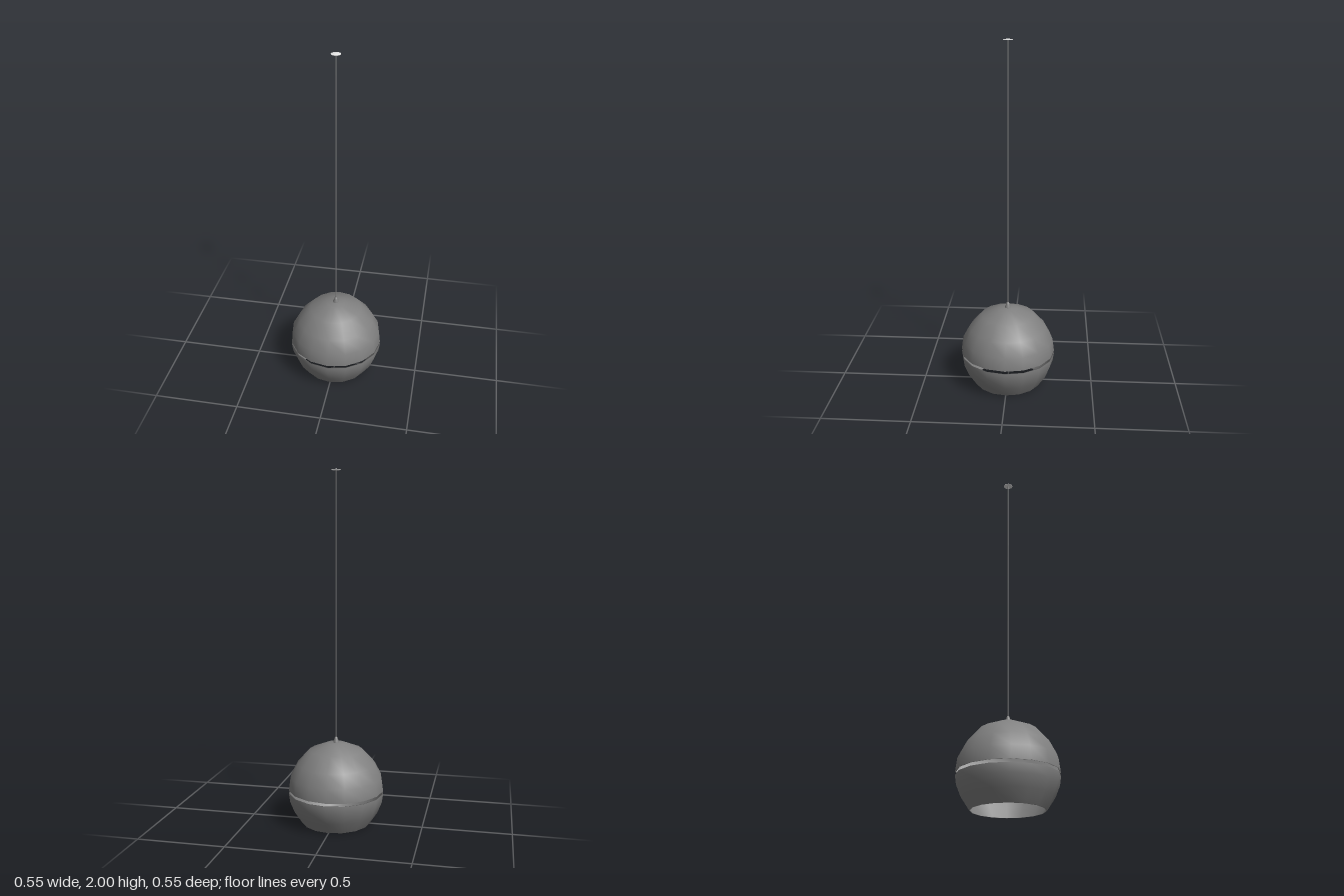
import * as THREE from 'three';

const SIDES = 16;

export function createModel() {
  const gray = new THREE.MeshStandardMaterial({ color: 0x808080 });
  gray.name = 'gray metal';
  const white = new THREE.MeshStandardMaterial({ color: 0xf2f2f2 });
  white.name = 'white enamel';

  const model = new THREE.Group();
  model.name = 'pendantLamp';

  // Turn a list of [radius, height] pairs about the y axis
  const turn = (name, profile, material, sides = SIDES) => {
    const points = profile.map(([r, y]) => new THREE.Vector2(r, y));
    const mesh = new THREE.Mesh(new THREE.LatheGeometry(points, sides), material);
    mesh.name = name;
    model.add(mesh);
    return mesh;
  };

  // Upper dome: gray skin with its rim, and a white lining
  const dome = [[0.275, 0.197], [0.265, 0.272], [0.225, 0.347], [0.154, 0.425], [0.053, 0.466], [0, 0.47]];
  turn('upperShade', [[0.269, 0.197], ...dome], gray);
  const lining = dome.map(([r, y], i) => [Math.max(0, r - 0.006), i ? y - 0.005 : y]).reverse();
  turn('upperShadeLining', lining, white);

  // Lower ring: outer wall, top rim, inner wall and bottom rim in one closed profile
  const ring = [[0.198, 0], [0.243, 0.068], [0.268, 0.13], [0.275, 0.179]];
  const inner = ring.map(([r, y]) => [r - 0.006, y]).reverse();
  turn('lowerShade', [...ring, ...inner, ring[0]], gray);

  // Cord grip on top of the dome
  turn('cordGrip', [[0.017, 0.465], [0.016, 0.475], [0.01, 0.488], [0.007, 0.5], [0, 0.501]], gray);

  // Cord up to the ceiling
  const cord = new THREE.Mesh(new THREE.CylinderGeometry(0.003, 0.003, 1.5, 8), gray);
  cord.name = 'cord';
  cord.position.y = 1.248;
  model.add(cord);

  // Small ceiling plate
  turn('ceilingPlate', [[0, 1.993], [0.026, 1.994], [0.026, 1.997], [0.006, 2], [0, 2]], white);

  return model;
}
